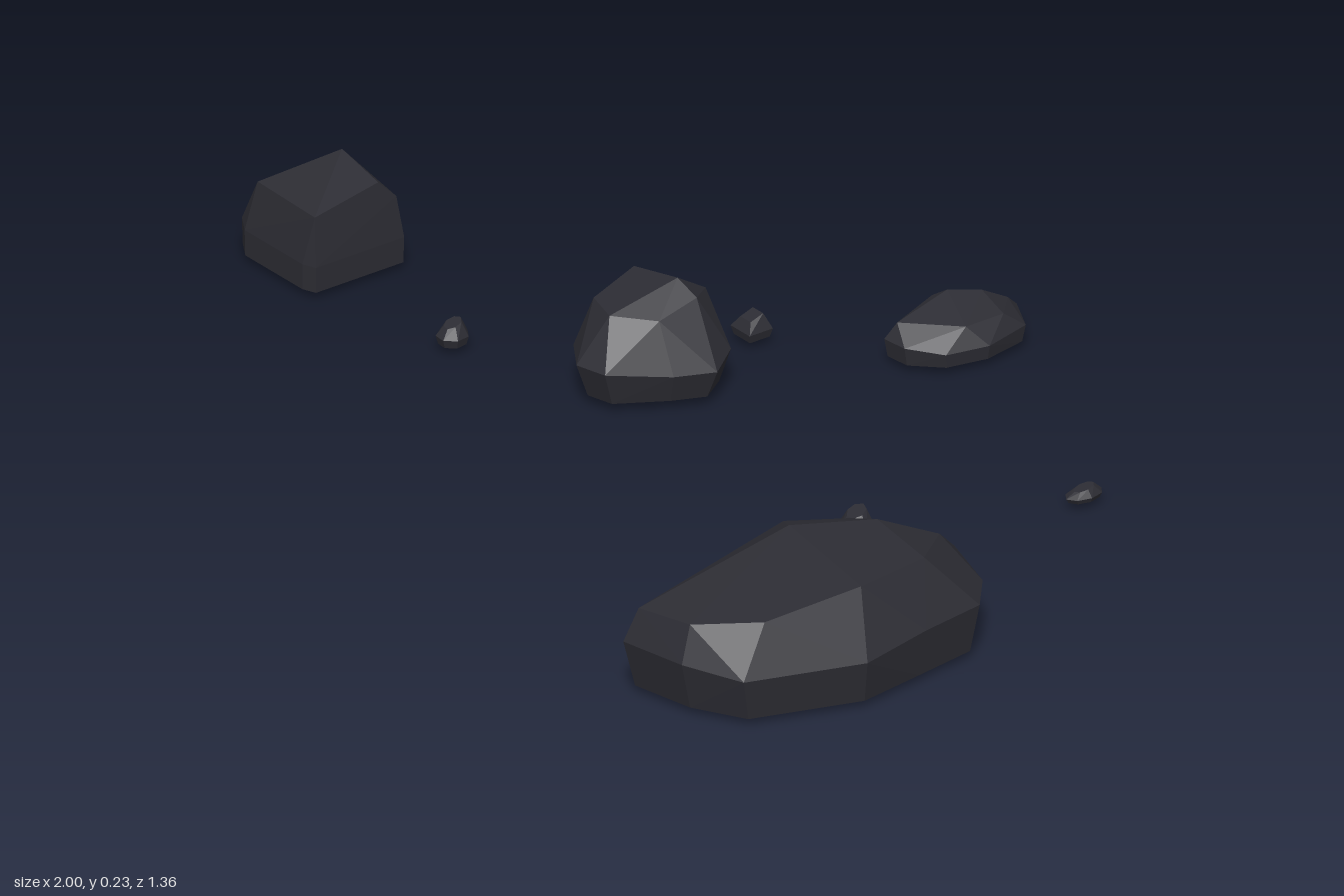
import * as THREE from 'three';
import { ConvexGeometry } from 'three/addons/geometries/ConvexGeometry.js';

const stone = new THREE.MeshStandardMaterial({ color: 0x2c2c33 });
stone.name = 'charcoal stone';
stone.flatShading = true;

// A faceted rock: the hull of a waist outline [x, y, z], a shrunken flat base and crown points.
function rock(name, waist, baseY, baseScale, crown) {
  const pts = [...waist, ...crown].map((p) => new THREE.Vector3(...p));
  const cx = waist.reduce((s, p) => s + p[0], 0) / waist.length;
  const cz = waist.reduce((s, p) => s + p[2], 0) / waist.length;
  for (const [x, , z] of waist) {
    pts.push(new THREE.Vector3(cx + (x - cx) * baseScale, baseY, cz + (z - cz) * baseScale));
  }
  const mesh = new THREE.Mesh(new ConvexGeometry(pts), stone);
  mesh.name = name;
  return mesh;
}

// A pebble: a six-sided waist with a narrower, slightly tilted crown.
function pebble(name, x, z, w, d, y0, y1, sides, turn) {
  const waist = [], crown = [];
  const h = y1 - y0;
  for (let i = 0; i < sides; i++) {
    const a = turn + (i / sides) * Math.PI * 2;
    const c = Math.cos(a), s = Math.sin(a);
    waist.push([x + c * w / 2, y0 + h * 0.35, z + s * d / 2]);
    crown.push([x + c * w * 0.27, y1 - h * (0.14 + 0.14 * s), z + s * d * 0.27]);
  }
  return rock(name, waist, y0, 0.85, crown);
}

export function createModel() {
  const group = new THREE.Group();
  group.name = 'scatteredRocks';

  // Long slab-like boulder
  group.add(rock('largeBoulder', [
    [0.76, 0.1, 0.02], [0.89, 0.1, 0.06], [0.96, 0.1, 0.12], [0.98, 0.1, 0.25], [1.0, 0.09, 0.39],
    [0.93, 0.09, 0.6], [0.83, 0.1, 0.655], [0.7, 0.1, 0.68], [0.61, 0.09, 0.49], [0.57, 0.09, 0.33],
    [0.62, 0.09, 0.18],
  ], 0.013, 0.94, [
    [0.73, 0.23, 0.35], [0.78, 0.215, 0.2], [0.91, 0.195, 0.2], [0.93, 0.195, 0.35], [0.91, 0.178, 0.54],
    [0.71, 0.16, 0.655], [0.82, 0.165, 0.63], [0.65, 0.19, 0.3], [0.81, 0.165, 0.09], [0.68, 0.17, 0.18],
  ]));

  // Rounded boulder in the middle
  group.add(rock('middleBoulder', [
    [-0.27, 0.07, -0.15], [-0.16, 0.08, -0.18], [-0.08, 0.08, -0.15], [-0.04, 0.07, -0.09],
    [-0.07, 0.07, -0.02], [-0.13, 0.08, 0.08], [-0.19, 0.08, 0.095], [-0.27, 0.07, 0.04],
    [-0.305, 0.06, -0.05],
  ], 0.018, 0.85, [
    [-0.245, 0.195, -0.07], [-0.15, 0.205, -0.09], [-0.11, 0.18, -0.1], [-0.17, 0.155, -0.165],
    [-0.24, 0.155, -0.13], [-0.11, 0.16, -0.02], [-0.17, 0.165, 0.04], [-0.24, 0.165, 0.02],
    [-0.13, 0.0, -0.13], [-0.3, 0.022, -0.05], [-0.16, 0.02, -0.175],
  ]));

  // Blocky rock with a sloping roof
  group.add(rock('blockRock', [
    [-0.93, 0.06, 0.012], [-0.775, 0.06, 0.012], [-0.775, 0.06, 0.2], [-0.8, 0.06, 0.21],
    [-0.96, 0.06, 0.21], [-1.0, 0.06, 0.185], [-1.0, 0.06, 0.1], [-0.97, 0.06, 0.03],
  ], 0.012, 0.99, [
    [-0.885, 0.198, 0.06], [-0.785, 0.175, 0.06], [-0.785, 0.15, 0.195], [-0.95, 0.15, 0.19],
    [-0.95, 0.15, 0.09], [-0.92, 0.14, 0.025], [-0.78, 0.14, 0.025],
  ]));

  // Low rock at the back
  group.add(rock('backRock', [
    [0, 0.048, -0.415], [0.05, 0.048, -0.42], [0.1, 0.04, -0.47], [0.117, 0.04, -0.55],
    [0.1, 0.045, -0.64], [0.02, 0.04, -0.682], [-0.03, 0.04, -0.64], [-0.056, 0.04, -0.55],
    [-0.03, 0.045, -0.47],
  ], 0.014, 0.95, [
    [0, 0.1, -0.55], [0.03, 0.096, -0.6], [0.09, 0.075, -0.52], [0.09, 0.075, -0.6],
    [0.01, 0.077, -0.435], [-0.03, 0.08, -0.54], [0.03, 0.065, -0.655],
  ]));

  // Small pebbles between the rocks
  group.add(
    pebble('squarePebble', -0.202, -0.288, 0.075, 0.07, 0.013, 0.058, 4, Math.PI / 4),
    pebble('leftPebble', -0.49, 0.128, 0.055, 0.06, 0.012, 0.056, 7, 0.3),
    pebble('rightPebble', 0.517, 0.042, 0.068, 0.062, 0.028, 0.082, 7, 0.1),
    pebble('flatPebble', 0.618, -0.365, 0.046, 0.075, 0.013, 0.037, 8, 0),
  );
  return group;
}
